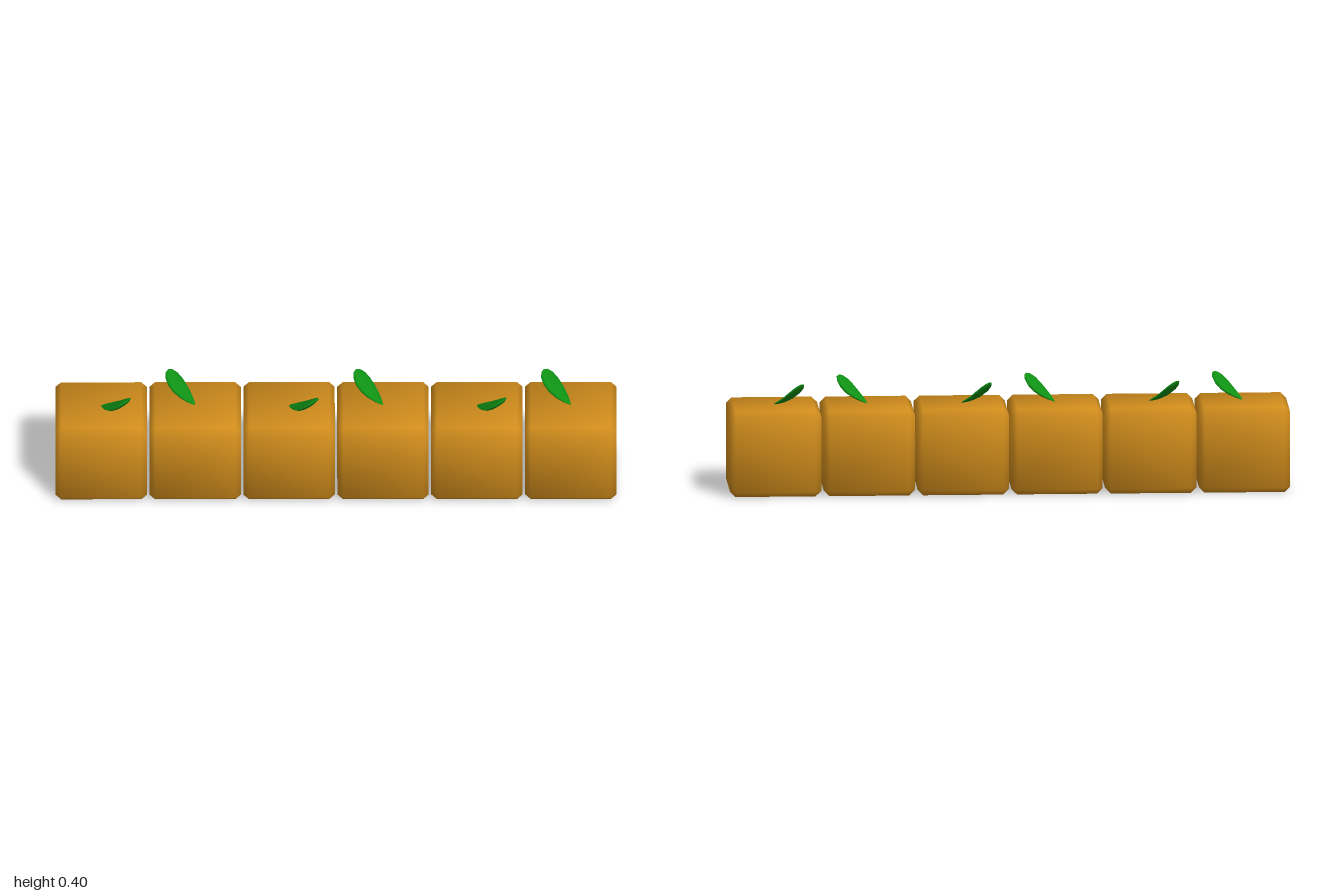
import * as THREE from 'three';
import { ConvexGeometry } from 'three/addons/geometries/ConvexGeometry.js';
import { mergeVertices } from 'three/addons/utils/BufferGeometryUtils.js';

const COUNT = 6, PITCH = 0.3348, WIDTH = 0.326, HEIGHT = 0.309, BEVEL = 0.02;

// Block with chamfered edges and soft, blended normals
function blockGeometry() {
  const half = [WIDTH / 2, HEIGHT / 2, WIDTH / 2];
  const points = [];
  for (const sx of [-1, 1]) for (const sy of [-1, 1]) for (const sz of [-1, 1]) {
    for (let axis = 0; axis < 3; axis++) {
      const c = [sx, sy, sz].map((s, i) => s * (half[i] - (i === axis ? 0 : BEVEL)));
      points.push(new THREE.Vector3(...c));
    }
  }
  const convex = new ConvexGeometry(points);
  convex.deleteAttribute('normal');
  const geometry = mergeVertices(convex, 1e-5);
  geometry.computeVertexNormals();
  const pos = geometry.attributes.position, normal = geometry.attributes.normal;
  const n = new THREE.Vector3();
  for (let i = 0; i < pos.count; i++) {
    const p = [pos.getX(i), pos.getY(i), pos.getZ(i)];
    n.set(...p.map((v, k) => Math.sign(v) * (Math.abs(v) > half[k] - BEVEL / 2 ? 1 : 0.4))).normalize();
    normal.setXYZ(i, n.x, n.y, n.z);
  }
  return geometry;
}

// Flattened leaf, pointed at its base and curling upward, growing from the origin
function leafGeometry() {
  const geometry = new THREE.SphereGeometry(1, 10, 8);
  const pos = geometry.attributes.position;
  for (let i = 0; i < pos.count; i++) {
    const t = (pos.getY(i) + 1) / 2;
    const taper = Math.pow(Math.max(t, 0), 0.35) * 1.12;
    const sag = 0.011 * Math.sin(Math.PI * t);
    pos.setXYZ(i, pos.getX(i) * 0.042 * taper, t * 0.163, pos.getZ(i) * 0.011 * taper + sag);
  }
  const along = new THREE.Vector3(0.098, 0.089, 0.1).normalize();
  const across = new THREE.Vector3(0.65, 0.08, -0.74);
  const under = across.clone().cross(along).normalize();
  across.crossVectors(along, under);
  geometry.applyMatrix4(new THREE.Matrix4().makeBasis(across, along, under));
  geometry.computeVertexNormals();
  return geometry;
}

export function createModel() {
  const model = new THREE.Group();
  model.name = 'blockRow';
  const blockMaterial = new THREE.MeshStandardMaterial({ color: 0xd08c1c });
  const leafMaterial = new THREE.MeshStandardMaterial({ color: 0x0f9014 });
  const blockShape = blockGeometry(), leafShape = leafGeometry();

  // Row of segments, every other one turned half way round
  for (let i = 0; i < COUNT; i++) {
    const segment = new THREE.Group();
    segment.name = `segment${i + 1}`;
    segment.position.x = (i - (COUNT - 1) / 2) * PITCH;
    segment.rotation.y = i % 2 ? Math.PI : 0;

    const block = new THREE.Mesh(blockShape, blockMaterial);
    block.name = 'block';
    block.position.y = HEIGHT / 2;

    const leaf = new THREE.Mesh(leafShape, leafMaterial);
    leaf.name = 'leaf';
    leaf.position.y = HEIGHT;

    segment.add(block, leaf);
    model.add(segment);
  }
  return model;
}
